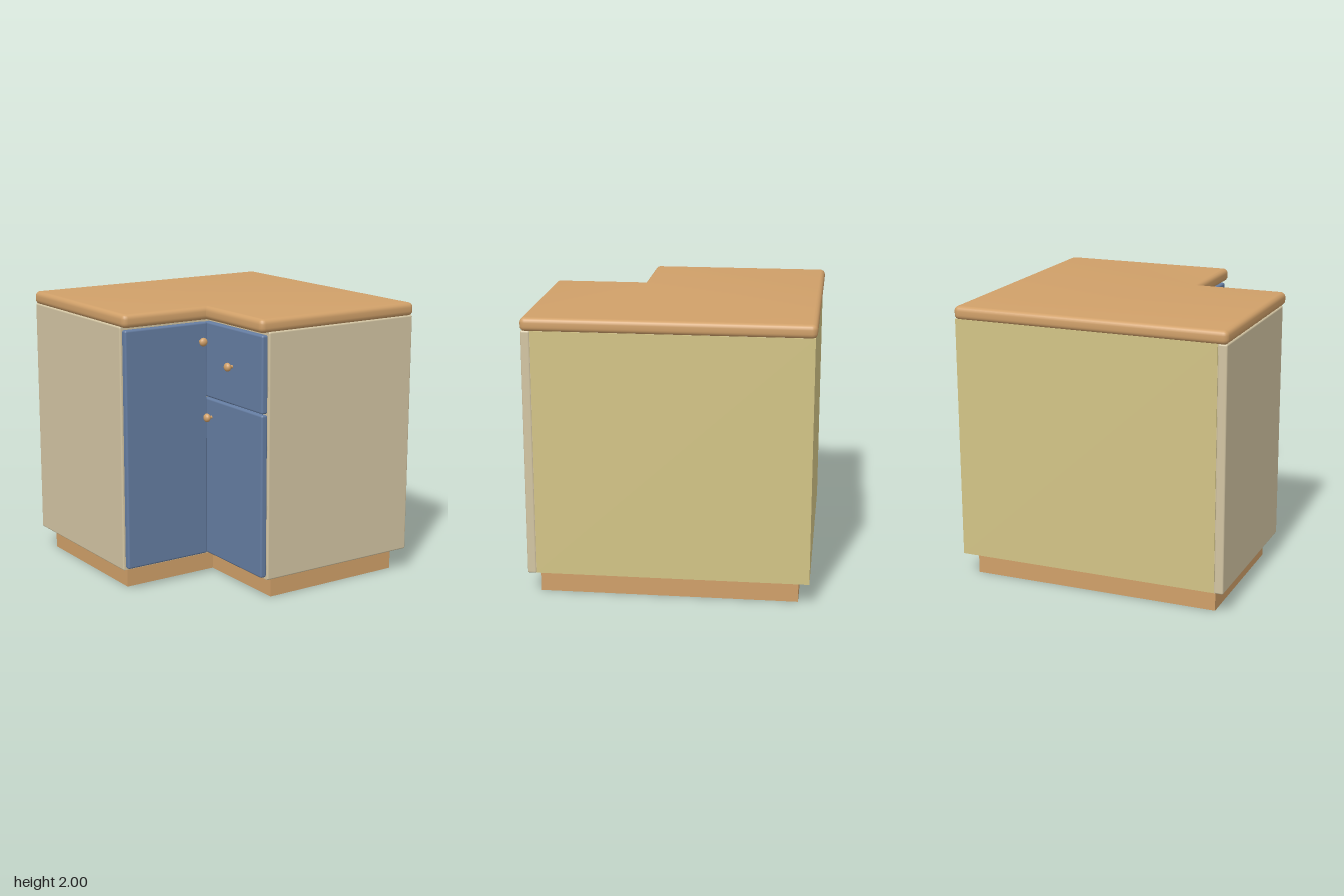
import * as THREE from 'three';
import { toCreasedNormals } from 'three/addons/utils/BufferGeometryUtils.js';
import { RoundedBoxGeometry } from 'three/addons/geometries/RoundedBoxGeometry.js';

function material(name, color) {
  const m = new THREE.MeshStandardMaterial({ color });
  m.name = name;
  return m;
}

// L-shaped slab standing between y0 and y1; the notch is at the front, on the -x side
function lSlab({ x0, x1, z0, z1, nx, nz, y0, y1, bevel = 0, corner = 0 }) {
  const b = bevel;
  const points = [
    [x0 + b, -(z0 + b)], [x0 + b, -(nz - b)], [nx + b, -(nz - b)],
    [nx + b, -(z1 - b)], [x1 - b, -(z1 - b)], [x1 - b, -(z0 + b)],
  ].map(([x, y]) => new THREE.Vector2(x, y));
  const shape = new THREE.Shape();
  points.forEach((p, i) => {
    const toward = (q) => p.clone().add(q.clone().sub(p).setLength(corner));
    const a = toward(points[(i + 5) % 6]);
    const c = toward(points[(i + 1) % 6]);
    if (i === 0) shape.moveTo(a.x, a.y);
    else shape.lineTo(a.x, a.y);
    if (corner > 0 && i !== 2) shape.quadraticCurveTo(p.x, p.y, c.x, c.y);
    else if (corner > 0) shape.lineTo(p.x, p.y).lineTo(c.x, c.y);
  });
  shape.closePath();
  const geometry = new THREE.ExtrudeGeometry(shape, {
    depth: y1 - y0 - 2 * b, bevelEnabled: b > 0, bevelSize: b,
    bevelThickness: b, bevelSegments: 5, curveSegments: 4,
  });
  geometry.rotateX(-Math.PI / 2).translate(0, y0 + b, 0);
  return toCreasedNormals(geometry, 0.7);
}

// Rounded box given by its low and high corners
function panel([x0, y0, z0], [x1, y1, z1], radius) {
  return new RoundedBoxGeometry(x1 - x0, y1 - y0, z1 - z0, 3, radius)
    .translate((x0 + x1) / 2, (y0 + y1) / 2, (z0 + z1) / 2);
}

// Thin plate given by its low and high corners
function plate([x0, y0, z0], [x1, y1, z1]) {
  return new THREE.BoxGeometry(x1 - x0, y1 - y0, z1 - z0)
    .translate((x0 + x1) / 2, (y0 + y1) / 2, (z0 + z1) / 2);
}

export function createModel() {
  const wood = material('wood', 0xd0a069);
  const cream = material('cream', 0xd3c5a3);
  const straw = material('straw', 0xd3c486);
  const blue = material('blue', 0x657da2);

  const group = new THREE.Group();
  group.name = 'cornerCabinet';
  const add = (name, geometry, mat) => {
    const mesh = new THREE.Mesh(geometry, mat);
    mesh.name = name;
    group.add(mesh);
    return mesh;
  };

  // Recessed base and overhanging worktop
  add('plinth', lSlab({ x0: -0.915, x1: 0.91, z0: -0.91, z1: 0.915, nx: -0.18, nz: 0.18, y0: 0, y1: 0.17 }), wood);
  add('worktop', lSlab({
    x0: -1, x1: 1, z0: -1, z1: 1, nx: -0.335, nz: 0.33,
    y0: 1.905, y1: 2, bevel: 0.034, corner: 0.006,
  }), wood);

  // Carcass with cream end panels
  const low = 0.16, high = 1.91;
  add('carcass', lSlab({
    x0: -0.985, x1: 0.985, z0: -0.982, z1: 0.985, nx: -0.265, nz: 0.265, y0: low + 0.003, y1: high,
  }), cream);
  add('frontEndPanel', panel([-0.265, low, 0.93], [0.99, high, 0.995], 0.012), cream);
  add('rightEndPanel', panel([-0.995, low, -0.987], [-0.93, high, 0.265], 0.012), cream);

  // Straw-coloured outer faces
  add('leftSidePanel', plate([0.982, low + 0.005, -0.986], [0.99, high, 0.93]), straw);
  add('backPanel', plate([-0.93, low + 0.005, -0.988], [0.99, high, -0.981]), straw);

  // Doors and drawer around the inner corner
  add('tallDoor', panel([-0.98, 0.18, 0.262], [-0.312, 1.888, 0.312], 0.014), blue);
  add('lowerDoor', panel([-0.312, 0.18, 0.268], [-0.262, 1.34, 0.98], 0.014), blue);
  add('drawerFront', panel([-0.312, 1.348, 0.268], [-0.262, 1.888, 0.98], 0.014), blue);

  // Turned knobs: slim stem with a flattened ball
  const knobProfile = new THREE.SplineCurve([
    [0.012, 0], [0.011, 0.018], [0.022, 0.024], [0.031, 0.038], [0.026, 0.054], [0.012, 0.063], [0, 0.065],
  ].map(([r, h]) => new THREE.Vector2(r, h))).getPoints(18);
  knobProfile[knobProfile.length - 1].x = 0;
  const knobGeometry = new THREE.LatheGeometry(knobProfile, 20);
  const knob = (name, x, y, z, axis) => {
    const mesh = add(name, knobGeometry, wood);
    mesh.position.set(x, y, z);
    mesh.quaternion.setFromUnitVectors(new THREE.Vector3(0, 1, 0), axis);
  };
  const forward = new THREE.Vector3(0, 0, 1), sideways = new THREE.Vector3(-1, 0, 0);
  knob('tallDoorKnob', -0.37, 1.755, 0.31, forward);
  knob('drawerKnob', -0.31, 1.62, 0.623, sideways);
  knob('lowerDoorKnob', -0.31, 1.21, 0.365, sideways);

  return group;
}
